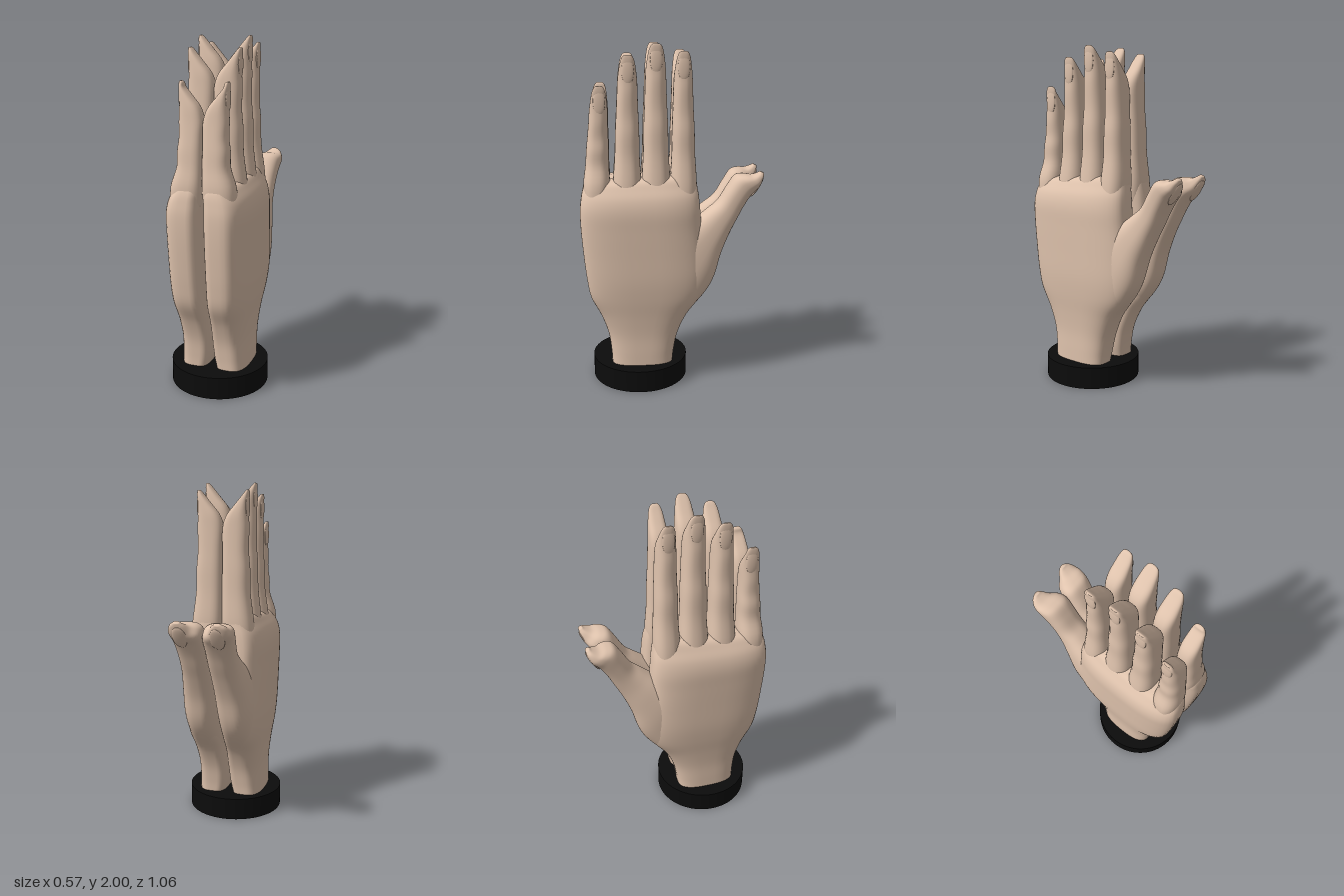
import * as THREE from 'three';

const skin = new THREE.MeshStandardMaterial({ color: 0xdfc3ad });
const black = new THREE.MeshStandardMaterial({ color: 0x0c0c0c });

// Smooth closed loft. Each section is [backZ, backY, frontZ, frontY, innerX, outerX];
// the inner (palm) side is squarer than the outer side. side = 1 or -1 mirrors in x.
function loft(name, sections, side, innerPower, outerPower, seg = 44, perSpan = 5) {
  const spans = sections.length - 1;
  const curve = new THREE.CubicInterpolant(sections.map((_, i) => i), sections.flat(), 6);
  const rows = spans * perSpan;
  const pos = [], index = [];
  const tri = (a, b, c) => (side > 0 ? index.push(a, b, c) : index.push(a, c, b));
  const ends = [];
  for (let r = 0; r <= rows; r++) {
    const [az, ay, bz, by, x0, x1] = curve.evaluate(r / perSpan);
    const cx = (x0 + x1) / 2, cy = (ay + by) / 2, cz = (az + bz) / 2;
    if (r === 0 || r === rows) ends.push([side * cx, cy, cz]);
    for (let i = 0; i < seg; i++) {
      const t = (i / seg) * Math.PI * 2, c = Math.cos(t), s = Math.sin(t);
      const p = 2 / (c < 0 ? innerPower : outerPower);
      const u = Math.sign(c) * Math.abs(c) ** p, v = Math.sign(s) * Math.abs(s) ** p;
      pos.push(side * (cx + u * (x1 - x0) / 2), cy + v * (by - ay) / 2, cz + v * (bz - az) / 2);
    }
  }
  for (let r = 0; r < rows; r++) {
    for (let i = 0; i < seg; i++) {
      const a = r * seg + i, b = r * seg + (i + 1) % seg;
      tri(a, a + seg, b);
      tri(b, a + seg, b + seg);
    }
  }
  // end caps
  const first = pos.length / 3, top = rows * seg;
  pos.push(...ends[0], ...ends[1]);
  for (let i = 0; i < seg; i++) {
    const j = (i + 1) % seg;
    tri(first, i, j);
    tri(first + 1, top + j, top + i);
  }
  const geo = new THREE.BufferGeometry();
  geo.setAttribute('position', new THREE.Float32BufferAttribute(pos, 3));
  geo.setIndex(index);
  geo.computeVertexNormals();
  const mesh = new THREE.Mesh(geo, skin);
  mesh.name = name;
  return mesh;
}

function nail(name, x, y, z, sx, sy, sz, tilt = 0) {
  const mesh = new THREE.Mesh(new THREE.SphereGeometry(1, 20, 14), skin);
  mesh.name = name;
  mesh.position.set(x, y, z);
  mesh.scale.set(sx, sy, sz);
  mesh.rotation.x = tilt;
  return mesh;
}

// wrist, palm and knuckles
const PALM = [
  [0.00, 0.12, 0.36, 0.12, 0.025, 0.20],
  [-0.01, 0.20, 0.365, 0.20, 0.008, 0.20],
  [-0.035, 0.31, 0.38, 0.31, 0, 0.20],
  [-0.09, 0.43, 0.42, 0.43, 0, 0.21],
  [-0.175, 0.55, 0.478, 0.55, 0, 0.225],
  [-0.20, 0.67, 0.50, 0.67, 0, 0.235],
  [-0.19, 0.82, 0.515, 0.82, 0, 0.238],
  [-0.172, 0.96, 0.525, 0.96, 0, 0.24],
  [-0.163, 1.07, 0.527, 1.07, 0, 0.24],
  [-0.155, 1.15, 0.52, 1.14, 0, 0.225],
  [-0.145, 1.21, 0.51, 1.19, 0.003, 0.195],
  [-0.135, 1.26, 0.495, 1.22, 0.02, 0.165],
  [-0.11, 1.275, 0.46, 1.235, 0.05, 0.12],
];

// thumb, leaning back and curling outward at its tip
const THUMB = [
  [0.01, 0.30, 0.20, 0.36, 0.03, 0.19],
  [-0.085, 0.43, 0.12, 0.55, 0, 0.20],
  [-0.195, 0.56, 0.05, 0.78, 0, 0.205],
  [-0.25, 0.66, -0.02, 0.92, 0, 0.205],
  [-0.29, 0.80, -0.13, 1.00, 0, 0.19],
  [-0.34, 0.92, -0.21, 1.06, 0, 0.172],
  [-0.385, 1.01, -0.27, 1.11, 0, 0.165],
  [-0.42, 1.08, -0.32, 1.19, 0, 0.168],
  [-0.46, 1.145, -0.365, 1.255, 0, 0.175],
  [-0.49, 1.18, -0.41, 1.268, 0.015, 0.178],
  [-0.51, 1.21, -0.455, 1.265, 0.05, 0.172],
  [-0.525, 1.25, -0.49, 1.275, 0.075, 0.155],
  [-0.53, 1.275, -0.508, 1.286, 0.095, 0.13],
];

// name, base z, tip z, tip height, width factor, outer x at the tip
const FINGERS = [
  ['indexFinger', -0.068, -0.064, 1.96, 0.97, 0.15],
  ['middleFinger', 0.09, 0.087, 2.0, 1.05, 0.152],
  ['ringFinger', 0.255, 0.243, 1.94, 1.03, 0.15],
  ['littleFinger', 0.428, 0.402, 1.775, 0.97, 0.138],
];

function finger([name, z0, z1, top, width, outer], side) {
  const base = 1.22, len = top - base - 0.2;
  // height, half width, inner x, outer x
  const rows = [
    [1.10, 0.070, 0.01, 0.19],
    [base, 0.078, 0, 0.182],
    [base + len * 0.3, 0.069, 0, outer + 0.010],
    [base + len * 0.55, 0.066, 0, outer + 0.007],
    [base + len * 0.75, 0.061, 0, outer - 0.002],
    [top - 0.21, 0.056, 0, outer],
    [top - 0.14, 0.053, 0.022, outer - 0.003],
    [top - 0.08, 0.046, 0.070, outer - 0.003],
    [top - 0.035, 0.038, 0.108, outer],
    [top - 0.01, 0.028, outer - 0.022, outer],
    [top, 0.016, outer - 0.012, outer - 0.002],
  ];
  const sections = rows.map(([y, w, x0, x1]) => {
    const z = THREE.MathUtils.lerp(z0, z1, THREE.MathUtils.clamp((y - base) / (top - base), 0, 1));
    return [z - w * width, y, z + w * width, y, x0, x1];
  });
  const group = new THREE.Group();
  group.name = name;
  group.add(
    loft(name + 'Flesh', sections, side, 2.8, 2.4, 32, 4),
    nail(name + 'Nail', side * (outer - 0.008), top - 0.085, z1, 0.01, 0.075, 0.034),
  );
  return group;
}

function hand(name, side) {
  const group = new THREE.Group();
  group.name = name;
  group.add(
    loft('palm', PALM, side, 4.5, 2.7),
    loft('thumb', THUMB, side, 2.8, 2.5),
    nail('thumbNail', side * 0.105, 1.195, -0.492, 0.042, 0.07, 0.012, -0.55),
    ...FINGERS.map((f) => finger(f, side)),
  );
  return group;
}

export function createModel() {
  const model = new THREE.Group();
  model.name = 'pressedHands';
  const base = new THREE.Mesh(new THREE.CylinderGeometry(0.285, 0.285, 0.13, 64), black);
  base.name = 'base';
  base.position.set(0, 0.065, 0.19);
  model.add(base, hand('leftHand', 1), hand('rightHand', -1));
  return model;
}
